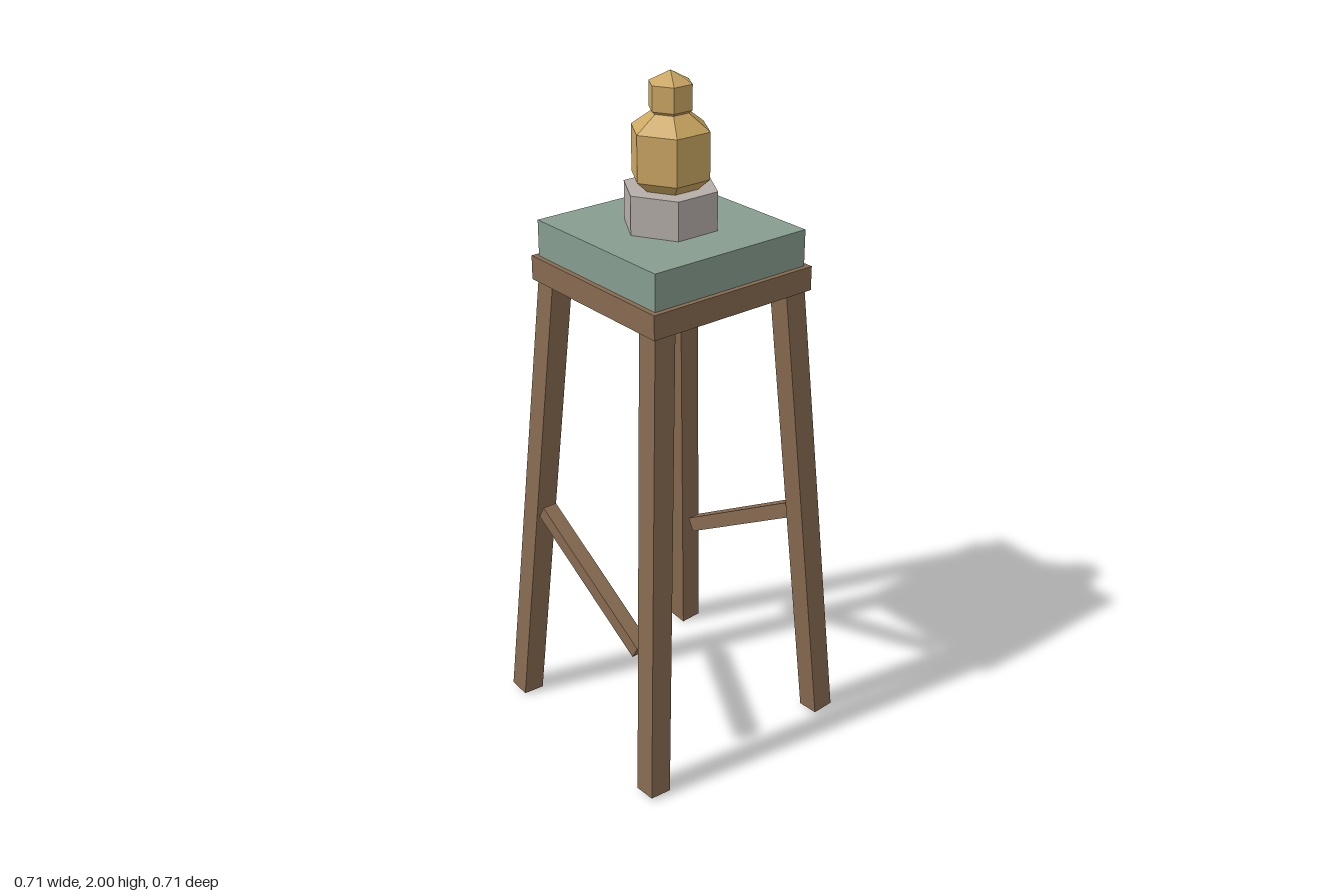
import * as THREE from 'three';

function material(name, color) {
  const m = new THREE.MeshStandardMaterial({ color, flatShading: true });
  m.name = name;
  return m;
}

export function createModel() {
  const group = new THREE.Group();
  const wood = material('wood', 0x866a50);
  const fabric = material('sage cushion', 0x879d90);
  const stone = material('grey stone', 0xb5ada8);
  const gold = material('gold', 0xcba762);

  function add(name, geometry, mat, x = 0, y = 0, z = 0) {
    const mesh = new THREE.Mesh(geometry, mat);
    mesh.name = name;
    mesh.position.set(x, y, z);
    group.add(mesh);
    return mesh;
  }

  // Four splayed legs, square in section
  const up = new THREE.Vector3(0, 1, 0);
  for (const sx of [-1, 1]) {
    for (const sz of [-1, 1]) {
      const foot = new THREE.Vector3(sx * 0.324, 0.005, sz * 0.324);
      const top = new THREE.Vector3(sx * 0.228, 1.405, sz * 0.228);
      const axis = top.clone().sub(foot);
      const mid = foot.clone().add(top).multiplyScalar(0.5);
      const leg = add('leg', new THREE.BoxGeometry(0.067, axis.length(), 0.067), wood, mid.x, mid.y, mid.z);
      leg.quaternion.setFromUnitVectors(up, axis.normalize());
    }
  }

  // Slanted braces, front and back, sloping opposite ways
  for (const s of [-1, 1]) {
    const brace = add(s > 0 ? 'frontBrace' : 'backBrace', new THREE.BoxGeometry(0.517, 0.045, 0.045), wood, 0, 0.553, s * 0.288);
    brace.rotation.z = -s * Math.PI / 6;
  }

  // Seat board and cushion
  add('seat', new THREE.BoxGeometry(0.548, 0.07, 0.548), wood, 0, 1.435, 0);
  add('cushion', new THREE.BoxGeometry(0.518, 0.105, 0.518), fabric, 0, 1.5225, 0);

  // Hexagonal plinth
  add('plinth', new THREE.CylinderGeometry(0.136, 0.136, 0.11, 6), stone, 0, 1.63, 0);

  // Hexagonal ornament: wide body, neck, small head with pointed cap
  const profile = [
    [0, 1.685], [0.08, 1.685], [0.113, 1.715], [0.113, 1.845],
    [0.052, 1.89], [0.062, 1.898], [0.062, 1.967], [0, 2.0],
  ].map(([r, y]) => new THREE.Vector2(r, y));
  add('ornament', new THREE.LatheGeometry(profile, 6), gold);

  return group;
}
